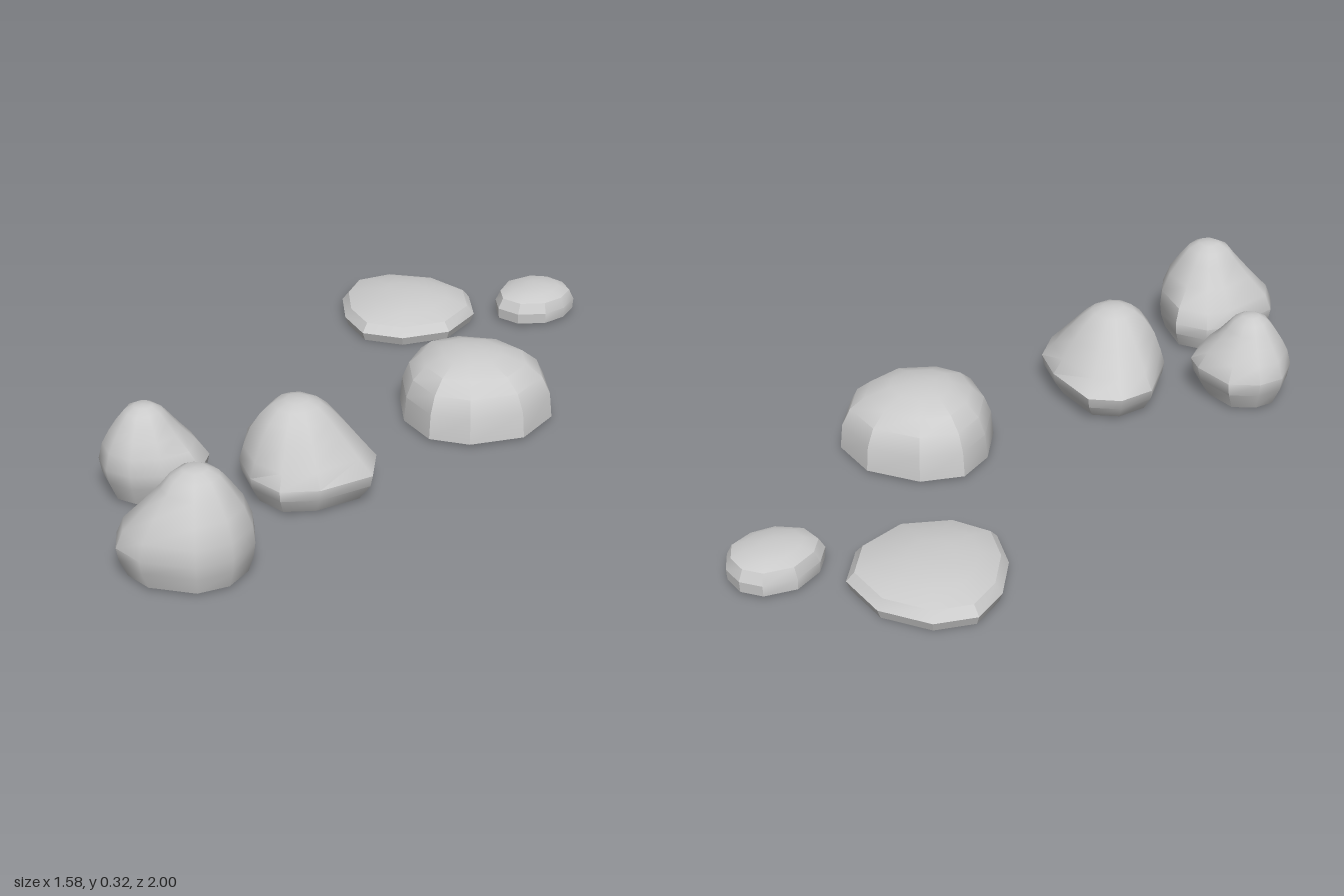
import * as THREE from 'three';
import { toCreasedNormals } from 'three/addons/utils/BufferGeometryUtils.js';

const material = new THREE.MeshStandardMaterial({ color: 0xcccccc, side: THREE.DoubleSide });

// Hollow stone: rings [y, share of the outline, extra round radius] stacked around a centre.
function stone(name, [cx, cz], outline, rings, crease) {
  const n = outline.length, pos = [], index = [];
  for (const [y, share, radius] of rings) {
    for (const [x, z] of outline) {
      const dx = x - cx, dz = z - cz, len = Math.hypot(dx, dz);
      const s = share + radius / len;
      pos.push(cx + dx * s, y, cz + dz * s);
    }
  }
  pos.push(cx, rings[rings.length - 1][0] + 0.002, cz);
  const top = rings.length * n;
  for (let k = 0; k < rings.length; k++) {
    for (let i = 0; i < n; i++) {
      const a = k * n + i, b = k * n + (i + 1) % n;
      if (k < rings.length - 1) index.push(a, a + n, b, b, a + n, b + n);
      else index.push(a, top, b);
    }
  }
  const geometry = new THREE.BufferGeometry();
  geometry.setAttribute('position', new THREE.Float32BufferAttribute(pos, 3));
  geometry.setIndex(index);
  const mesh = new THREE.Mesh(toCreasedNormals(geometry, crease), material);
  mesh.name = name;
  return mesh;
}

export function createModel() {
  const group = new THREE.Group();
  group.name = 'stoneGroup';

  // Rounded domes
  group.add(stone('largeDomeStone', [0.33, -0.03],
    [[0.31, -0.27], [0.48, -0.225], [0.585, -0.1], [0.585, 0.04], [0.48, 0.17],
      [0.31, 0.205], [0.19, 0.16], [0.125, 0.035], [0.125, -0.11], [0.18, -0.225]],
    [[0.01, 1, 0], [0.09, 0.97, 0], [0.145, 0.87, 0], [0.185, 0.68, 0], [0.21, 0.4, 0], [0.218, 0.18, 0]], 0.5));

  group.add(stone('flatStone', [0.2, -0.76],
    [[0.16, -1], [0.32, -0.955], [0.43, -0.83], [0.43, -0.685], [0.33, -0.55],
      [0.17, -0.51], [0.04, -0.56], [-0.01, -0.69], [-0.01, -0.84], [0.04, -0.955]],
    [[0, 0.95, 0], [0.03, 1, 0], [0.058, 0.9, 0], [0.08, 0.62, 0], [0.09, 0.3, 0]], 0.5));

  group.add(stone('smallStone', [0.65, -0.765],
    [[0.65, -0.9], [0.72, -0.885], [0.77, -0.83], [0.785, -0.755], [0.74, -0.68],
      [0.67, -0.635], [0.575, -0.635], [0.515, -0.69], [0.515, -0.765], [0.56, -0.855]],
    [[0.01, 0.98, 0], [0.045, 1, 0], [0.078, 0.88, 0], [0.095, 0.6, 0], [0.1, 0.25, 0]], 0.5));

  // Knobbed stones: a flared, irregular base with a round crown
  group.add(stone('middleKnobStone', [-0.22, 0.4],
    [[-0.27, 0.13], [-0.165, 0.13], [-0.04, 0.28], [0.01, 0.4], [-0.01, 0.525],
      [-0.165, 0.6], [-0.28, 0.6], [-0.36, 0.515], [-0.39, 0.395], [-0.36, 0.205]],
    [[0.01, 0.82, 0], [0.06, 0.97, 0], [0.095, 1, 0], [0.14, 0.6, 0.055], [0.2, 0.15, 0.11],
      [0.245, 0, 0.105], [0.275, 0, 0.07], [0.288, 0, 0.035]], 0.8));

  group.add(stone('smallKnobStone', [-0.66, 0.395],
    [[-0.7, 0.24], [-0.6, 0.235], [-0.5, 0.335], [-0.475, 0.395], [-0.5, 0.485],
      [-0.61, 0.52], [-0.7, 0.52], [-0.77, 0.475], [-0.795, 0.395], [-0.77, 0.29]],
    [[0.01, 0.75, 0], [0.07, 0.94, 0], [0.115, 1, 0], [0.165, 0.5, 0.055], [0.205, 0.12, 0.085],
      [0.24, 0, 0.078], [0.268, 0, 0.055], [0.283, 0, 0.028]], 0.8));

  group.add(stone('tallKnobStone', [-0.51, 0.84],
    [[-0.6, 0.65], [-0.52, 0.615], [-0.415, 0.65], [-0.355, 0.79], [-0.355, 0.875],
      [-0.415, 0.96], [-0.515, 0.995], [-0.665, 0.95], [-0.73, 0.875], [-0.73, 0.79]],
    [[0.01, 0.87, 0], [0.06, 0.97, 0], [0.1, 1, 0], [0.15, 0.75, 0.035], [0.21, 0.2, 0.1],
      [0.265, 0, 0.095], [0.3, 0, 0.068], [0.318, 0, 0.035]], 0.8));

  return group;
}
